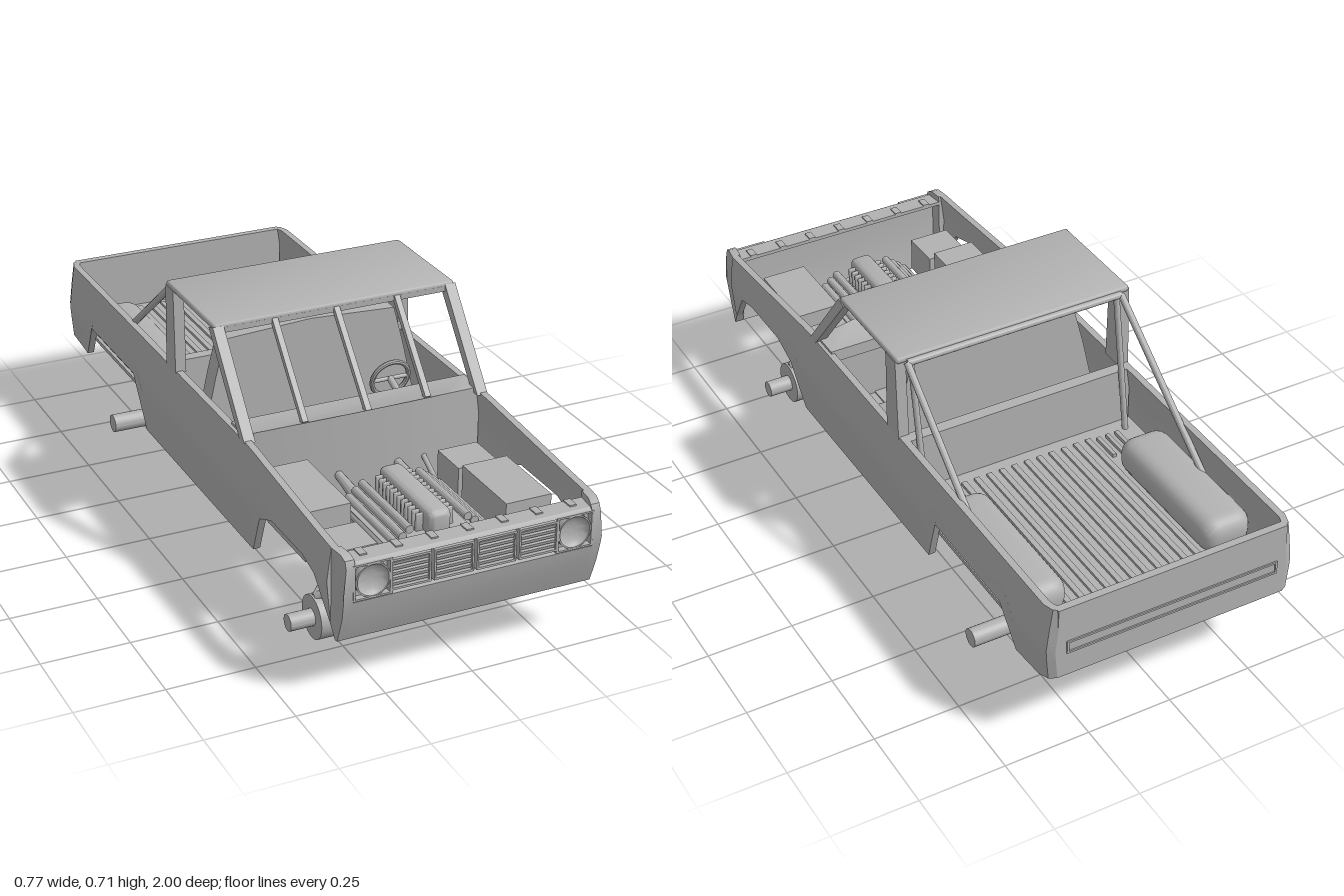
import * as THREE from 'three';
import { toCreasedNormals } from 'three/addons/utils/BufferGeometryUtils.js';
import { RoundedBoxGeometry } from 'three/addons/geometries/RoundedBoxGeometry.js';

export function createModel() {
  const model = new THREE.Group();
  model.name = 'pickupTruck';
  const grey = new THREE.MeshStandardMaterial({ color: 0xb2b2b2, side: THREE.DoubleSide });
  grey.name = 'primerGrey';
  const V = (x, y, z) => new THREE.Vector3(x, y, z);

  const add = (name, geo, crease = 0.5) => {
    const mesh = new THREE.Mesh(toCreasedNormals(geo, crease), grey);
    mesh.name = name;
    model.add(mesh);
    return mesh;
  };
  // Box given by its limits
  const box = (name, x0, x1, y0, y1, z0, z1) =>
    add(name, new THREE.BoxGeometry(x1 - x0, y1 - y0, z1 - z0)
      .translate((x0 + x1) / 2, (y0 + y1) / 2, (z0 + z1) / 2));
  const rounded = (name, x0, x1, y0, y1, z0, z1, r) =>
    add(name, new RoundedBoxGeometry(x1 - x0, y1 - y0, z1 - z0, 3, r)
      .translate((x0 + x1) / 2, (y0 + y1) / 2, (z0 + z1) / 2));
  // Straight bar between two points
  const rod = (name, a, b, r, sides = 12, r2 = r) => {
    const dir = b.clone().sub(a);
    const geo = new THREE.CylinderGeometry(r2, r, dir.length(), sides);
    if (sides === 4) geo.rotateY(Math.PI / 4);
    geo.applyQuaternion(new THREE.Quaternion().setFromUnitVectors(V(0, 1, 0), dir.normalize()));
    geo.translate((a.x + b.x) / 2, (a.y + b.y) / 2, (a.z + b.z) / 2);
    return add(name, geo);
  };
  const coil = (name, a, b, r, turns) => {
    const pts = [];
    for (let i = 0; i <= turns * 12; i++) {
      const t = i / (turns * 12), w = i * Math.PI / 6;
      pts.push(a.clone().lerp(b, t).add(V(Math.cos(w) * r, 0, Math.sin(w) * r)));
    }
    add(name, new THREE.TubeGeometry(new THREE.CatmullRomCurve3(pts), turns * 14, 0.008, 6));
  };
  // Side profile of (z, y) points extruded across x
  const extrudeX = (pts, x0, x1) => new THREE.ExtrudeGeometry(
    new THREE.Shape(pts.map(([z, y]) => new THREE.Vector2(-z, y))),
    { depth: x1 - x0, bevelEnabled: false }).rotateY(Math.PI / 2).translate(x0, 0, 0);
  const both = fn => [1, -1].forEach(fn);

  // Half width of the body at height y
  const widths = [[0.15, 0.368], [0.22, 0.374], [0.32, 0.383], [0.4, 0.373], [0.46, 0.364]];
  const halfWidth = y => {
    let i = 0;
    while (i < 3 && y > widths[i + 1][0]) i++;
    const [y0, a] = widths[i], [y1, b] = widths[i + 1];
    return a + (b - a) * (y - y0) / (y1 - y0);
  };

  // Body sides: closed sections lofted along z as [z, bottom, top, inset]
  const stations = [[0.93, 0.195, 0.415, 0], [0.85, 0.305, 0.42, 0], [0.78, 0.325, 0.425, 0],
    [0.59, 0.325, 0.44, 0], [0.51, 0.29, 0.446, 0], [0.44, 0.16, 0.452, 0], [0.38, 0.16, 0.455, 0],
    [-0.34, 0.165, 0.455, 0], [-0.405, 0.325, 0.455, 0], [-0.757, 0.325, 0.455, 0],
    [-0.83, 0.21, 0.455, 0], [-0.95, 0.224, 0.455, 0], [-0.98, 0.228, 0.455, 0.01], [-0.992, 0.23, 0.455, 0.03]];
  const rows = 8, ring = rows * 2, pos = [], idx = [];
  for (const [z, bottom, top, inset] of stations)
    for (let k = 0; k < ring; k++) {
      const inner = k >= rows, t = (inner ? ring - 1 - k : k) / (rows - 1);
      const y = bottom + (top - bottom) * t;
      pos.push(halfWidth(y) - inset - (inner ? 0.02 : 0), y, z);
    }
  for (let s = 0; s < stations.length - 1; s++)
    for (let k = 0; k < ring; k++) {
      const a = s * ring + k, b = s * ring + (k + 1) % ring;
      idx.push(a, a + ring, b, b, a + ring, b + ring);
    }
  const last = (stations.length - 1) * ring;
  for (let k = 0; k < rows - 1; k++) {
    const m = ring - 1 - k;
    idx.push(k, k + 1, m, k + 1, m - 1, m);
    idx.push(last + k, last + m, last + k + 1, last + k + 1, last + m, last + m - 1);
  }
  const sideGeo = new THREE.BufferGeometry();
  sideGeo.setAttribute('position', new THREE.Float32BufferAttribute(pos, 3));
  sideGeo.setIndex(idx);
  both(s => { add('bodySide', sideGeo).scale.x = s; });

  // Front parts follow the body width and round in at the corners
  const nosePart = (name, pts, x0, x1) => {
    const geo = extrudeX(pts, x0, x1), p = geo.attributes.position;
    for (let i = 0; i < p.count; i++)
      p.setX(i, p.getX(i) * (halfWidth(p.getY(i)) - Math.max(0, p.getZ(i) - 0.95) * 0.25));
    add(name, geo);
  };
  const chin = [[0.95, 0.16], [0.958, 0.16], [0.985, 0.235], [0.996, 0.286]];
  nosePart('frontPanel', [...chin, [0.98, 0.29], [0.98, 0.39], [0.997, 0.388], [0.985, 0.396],
    [0.93, 0.396], [0.93, 0.385], [0.965, 0.38], [0.965, 0.25]], -0.94, 0.94);
  both(s => nosePart('fenderNose', [...chin, [0.999, 0.31], [0.999, 0.385], [0.99, 0.405], [0.97, 0.415],
    [0.93, 0.415], [0.93, 0.195]], s > 0 ? 0.93 : -1, s > 0 ? 1 : -0.93));
  for (let i = -3; i <= 3; i++) box('hoodTab', i * 0.1 - 0.01, i * 0.1 + 0.01, 0.39, 0.4, 0.93, 0.965);

  // Grille: four framed panels of slats
  for (let i = 0; i < 4; i++) {
    const x0 = -0.239 + i * 0.1215, x1 = x0 + 0.113;
    for (const y of [0.3, 0.381]) box('grilleFrame', x0, x1, y - 0.003, y + 0.003, 0.975, 0.999);
    for (const x of [x0, x1 - 0.005]) box('grilleFrame', x, x + 0.005, 0.298, 0.384, 0.975, 0.999);
    for (let j = 0; j < 5; j++)
      add('grilleSlat', new THREE.BoxGeometry(0.108, 0.01, 0.012).rotateX(0.3)
        .translate((x0 + x1) / 2, 0.312 + j * 0.0145, 0.987));
  }
  // Headlights: concave dish in a square bezel
  const dish = [[0, 0], [0.018, 0.001], [0.032, 0.005], [0.04, 0.011], [0.044, 0.018], [0.048, 0.018], [0.048, 0]];
  both(s => {
    const lamp = add('headlight', new THREE.LatheGeometry(dish.map(p => new THREE.Vector2(...p)), 32).rotateX(Math.PI / 2), 0.7);
    lamp.position.set(s * 0.288, 0.34, 0.9805);
    for (const y of [0.289, 0.386]) box('headlightBezel', s * 0.288 - 0.053, s * 0.288 + 0.053, y, y + 0.005, 0.975, 0.999);
    for (const x of [0.238, 0.34]) box('headlightBezel', s * x - 0.003, s * x + 0.003, 0.289, 0.39, 0.975, 0.999);
  });

  // Cab shell: floor, bowed firewall and cowl, rear wall
  box('cabFloor', -0.36, 0.36, 0.2, 0.215, -0.18, 0.36);
  const bow = x => 0.39 - 0.25 * x * x;
  const bowed = (name, zBack, y0, depth) => {
    const plan = new THREE.Shape();
    plan.moveTo(0.355, -zBack).lineTo(-0.355, -zBack);
    for (let i = -6; i <= 6; i++) plan.lineTo(i * 0.0592, -bow(i * 0.0592));
    const geo = new THREE.ExtrudeGeometry(plan, { depth, bevelEnabled: false }).rotateX(-Math.PI / 2).translate(0, y0, 0);
    const p = geo.attributes.position;
    for (let i = 0; i < p.count; i++) if (p.getY(i) > 0.4) p.setY(i, p.getY(i) - 0.12 * p.getX(i) ** 2);
    add(name, geo);
  };
  bowed('firewall', 0.34, 0.2, 0.26);
  bowed('cowl', 0.27, 0.44, 0.038);
  box('cabRearWall', -0.36, 0.36, 0.2, 0.455, -0.185, -0.165);

  // Roof, pillars and windshield bars
  rounded('roof', -0.365, 0.365, 0.692, 0.712, -0.165, 0.18, 0.0095);
  box('windshieldHeader', -0.345, 0.345, 0.684, 0.7, 0.16, 0.18);
  box('rearHeader', -0.345, 0.345, 0.684, 0.7, -0.16, -0.14);
  for (const x of [-0.185, 0, 0.185]) rod('windshieldBar', V(x, 0.47, bow(x) - 0.01), V(x, 0.695, 0.175), 0.012, 4);
  both(s => {
    const aPillar = [[0.385, 0.45], [0.35, 0.45], [0.15, 0.695], [0.18, 0.705]];
    const cPillar = [[-0.1, 0.45], [-0.17, 0.45], [-0.16, 0.7], [-0.105, 0.7]];
    const x = s > 0 ? 0.335 : -0.367;
    add('windshieldPillar', extrudeX(aPillar, x, x + 0.032));
    add('rearPillar', extrudeX(cPillar, x, x + 0.032));
    // Roll bar hoop and its rear braces
    rod('rollBarPost', V(s * 0.322, 0.695, -0.165), V(s * 0.322, 0.27, -0.24), 0.009);
    rod('rollBarBrace', V(s * 0.335, 0.695, -0.17), V(s * 0.342, 0.35, -0.615), 0.01);
  });
  rod('rollBarTop', V(-0.335, 0.695, -0.17), V(0.335, 0.695, -0.17), 0.01);

  // Bench seat and steering wheel
  const back = new THREE.Shape([[-0.33, 0.3], [0.33, 0.3], [0.292, 0.47], [0.262, 0.583], [0, 0.597], [-0.262, 0.583], [-0.292, 0.47]]
    .map(p => new THREE.Vector2(...p)));
  add('seatBack', new THREE.ExtrudeGeometry(back, { depth: 0.06, bevelEnabled: false }).translate(0, 0, -0.047));
  rounded('seatCushion', -0.33, 0.33, 0.215, 0.32, -0.05, 0.17, 0.02);
  add('steeringWheel', new THREE.TorusGeometry(0.056, 0.007, 8, 32).rotateX(0.25).translate(0.155, 0.463, 0.205));
  rod('steeringSpoke', V(0.1, 0.463, 0.205), V(0.21, 0.463, 0.205), 0.006);
  rod('steeringColumn', V(0.155, 0.463, 0.205), V(0.155, 0.4, 0.36), 0.01);

  // Cargo bed
  box('bedFloor', -0.36, 0.36, 0.268, 0.28, -0.98, -0.18);
  box('bedFrontWall', -0.355, 0.355, 0.27, 0.455, -0.2, -0.185);
  box('tailgate', -0.345, 0.345, 0.23, 0.455, -0.992, -0.97);
  for (const y of [0.308, 0.342]) box('tailgateTrim', -0.32, 0.32, y - 0.003, y + 0.003, -0.996, -0.99);
  for (const x of [-0.32, 0.314]) box('tailgateTrim', x, x + 0.006, 0.308, 0.342, -0.996, -0.99);
  for (let i = 0; i < 11; i++) box('bedRib', -0.204 + i * 0.04, -0.188 + i * 0.04, 0.28, 0.288, -0.94, -0.24);
  both(s => {
    const [a, b] = s > 0 ? [0.21, 0.362] : [-0.362, -0.21];
    rounded('wheelTub', a, b, 0.266, 0.375, -0.83, -0.365, 0.045);
    for (const x of [0.225, 0.255, 0.285]) {
      box('shortRib', s * x - 0.006, s * x + 0.006, 0.279, 0.291, -0.34, -0.25);
      box('shortRib', s * x - 0.006, s * x + 0.006, 0.279, 0.291, -0.94, -0.86);
    }
  });

  // Engine bay boxes
  box('batteryBox', -0.33, -0.2, 0.24, 0.385, 0.42, 0.69);
  box('fluidTank', -0.325, -0.2, 0.24, 0.345, 0.72, 0.845);
  box('fuseBox', 0.18, 0.3, 0.24, 0.345, 0.45, 0.57);
  box('airBox', 0.175, 0.31, 0.235, 0.37, 0.6, 0.84);
  // Engine with ribbed intake, valve covers and pulleys
  box('engineBlock', -0.09, 0.09, 0.2, 0.31, 0.53, 0.8);
  rounded('intake', -0.035, 0.035, 0.3, 0.375, 0.51, 0.81, 0.02);
  for (let i = 0; i < 12; i++) rounded('intakeRib', -0.055, 0.055, 0.3, 0.36, 0.535 + i * 0.021, 0.545 + i * 0.021, 0.004);
  both(s => {
    for (let i = 0; i < 4; i++)
      rod('valveCover', V(s * (0.085 + i * 0.02), 0.335 - i * 0.016, 0.52), V(s * (0.085 + i * 0.02), 0.335 - i * 0.016, 0.8), 0.012);
    box('headCasting', s * 0.115 - 0.035, s * 0.115 + 0.035, 0.24, 0.3, 0.53, 0.79);
    rod('exhaustPipe', V(s * 0.09, 0.3, 0.38), V(s * 0.09, 0.28, 0.53), 0.012, 12, 0.02);
    rod('bayBrace', V(s * 0.175, 0.3, 0.37), V(s * 0.145, 0.26, 0.56), 0.008);
    rod('pulley', V(s * 0.08, 0.27, 0.8), V(s * 0.08, 0.27, 0.825), 0.025, 20);
  });
  rod('crankPulley', V(0, 0.25, 0.8), V(0, 0.25, 0.835), 0.025, 24);

  // Ladder frame
  both(s => {
    box('frameRail', s * 0.17 - 0.018, s * 0.17 + 0.018, 0.18, 0.22, -0.3, 0.64);
    box('rearFrameRail', s * 0.21 - 0.018, s * 0.21 + 0.018, 0.232, 0.255, -0.88, -0.26);
    box('railKick', s * 0.19 - 0.035, s * 0.19 + 0.035, 0.19, 0.268, -0.31, -0.25);
  });
  for (const z of [0.58, 0.25, -0.2]) box('crossMember', -0.17, 0.17, 0.185, 0.21, z - 0.02, z + 0.02);
  for (const z of [-0.42, -0.86]) box('rearCrossMember', -0.21, 0.21, 0.235, 0.268, z - 0.02, z + 0.02);

  // Rear axle with differential, links and springs
  rod('rearAxle', V(-0.382, 0.071, -0.6), V(0.382, 0.071, -0.6), 0.027, 24);
  const diff = [[0.027, -0.092], [0.046, -0.09], [0.071, -0.058], [0.071, 0.058], [0.046, 0.09], [0.027, 0.092]];
  add('differential', new THREE.LatheGeometry(diff.map(p => new THREE.Vector2(...p)), 32)
    .rotateZ(-Math.PI / 2).translate(0, 0.071, -0.6));
  both(s => {
    rod('trailingLink', V(s * 0.17, 0.175, -0.24), V(s * 0.185, 0.08, -0.6), 0.017, 4);
    box('linkMount', s * 0.185 - 0.015, s * 0.185 + 0.015, 0.062, 0.13, -0.625, -0.585);
    rod('rearDamper', V(s * 0.2, 0.08, -0.6), V(s * 0.2, 0.27, -0.665), 0.012);
    coil('rearSpring', V(s * 0.2, 0.105, -0.61), V(s * 0.2, 0.215, -0.65), 0.03, 5);

    // Front hub, control arms and coil-over
    rod('stubAxle', V(s * 0.25, 0.071, 0.69), V(s * 0.382, 0.071, 0.69), 0.024, 24);
    rod('frontHub', V(s * 0.268, 0.071, 0.69), V(s * 0.312, 0.071, 0.69), 0.062, 28);
    for (const z of [0.62, 0.76]) {
      rod('lowerArm', V(s * 0.135, 0.16, z), V(s * 0.29, 0.017, 0.69), 0.013);
      rod('upperArm', V(s * 0.19, 0.21, z), V(s * 0.3, 0.13, 0.69), 0.012);
    }
    add('lowerBallJoint', new THREE.SphereGeometry(0.016, 16, 10).translate(s * 0.29, 0.017, 0.69));
    rod('frontDamper', V(s * 0.24, 0.08, 0.69), V(s * 0.185, 0.27, 0.69), 0.012);
    coil('frontSpring', V(s * 0.23, 0.115, 0.69), V(s * 0.19, 0.23, 0.69), 0.034, 5);
    box('springTower', s * 0.185 - 0.03, s * 0.185 + 0.03, 0.225, 0.25, 0.655, 0.725);
  });
  return model;
}
